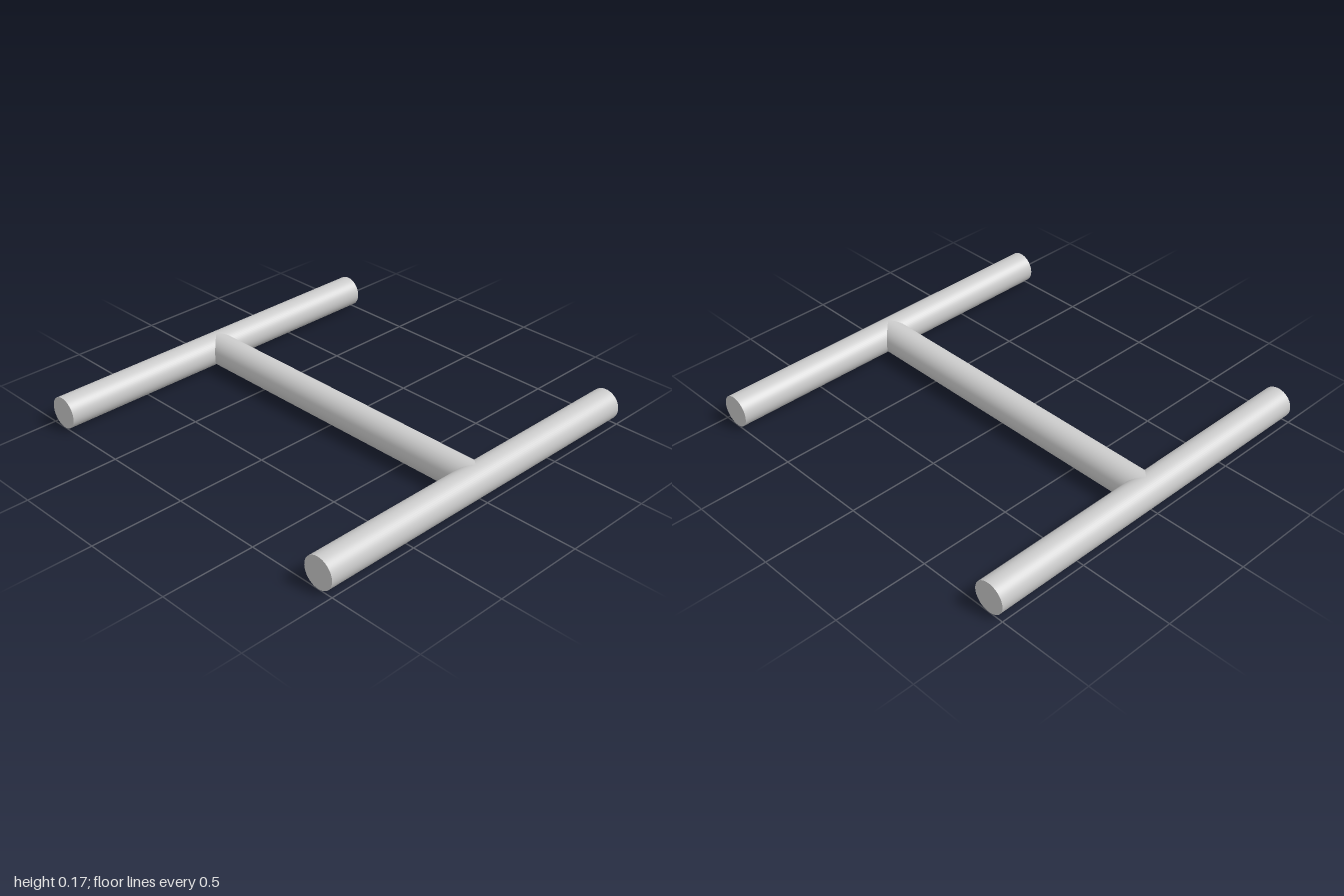
import * as THREE from 'three';

export function createModel() {
  const group = new THREE.Group();
  const material = new THREE.MeshStandardMaterial({ color: 0xcccccc });
  const radius = 0.084;
  const offset = 1 - radius;

  // Round bar centred at height radius, lying along x or z
  function addBar(name, length, axis, z) {
    const geometry = new THREE.CylinderGeometry(radius, radius, length, 64);
    if (axis === 'x') geometry.rotateZ(Math.PI / 2);
    else geometry.rotateX(Math.PI / 2);
    const bar = new THREE.Mesh(geometry, material);
    bar.name = name;
    bar.position.set(0, radius, z);
    group.add(bar);
  }

  // Two parallel end bars
  addBar('frontBar', 2, 'x', offset);
  addBar('backBar', 2, 'x', -offset);

  // Connecting bar, ending on the axes of the end bars
  addBar('connectingBar', 2 * offset, 'z', 0);

  return group;
}
